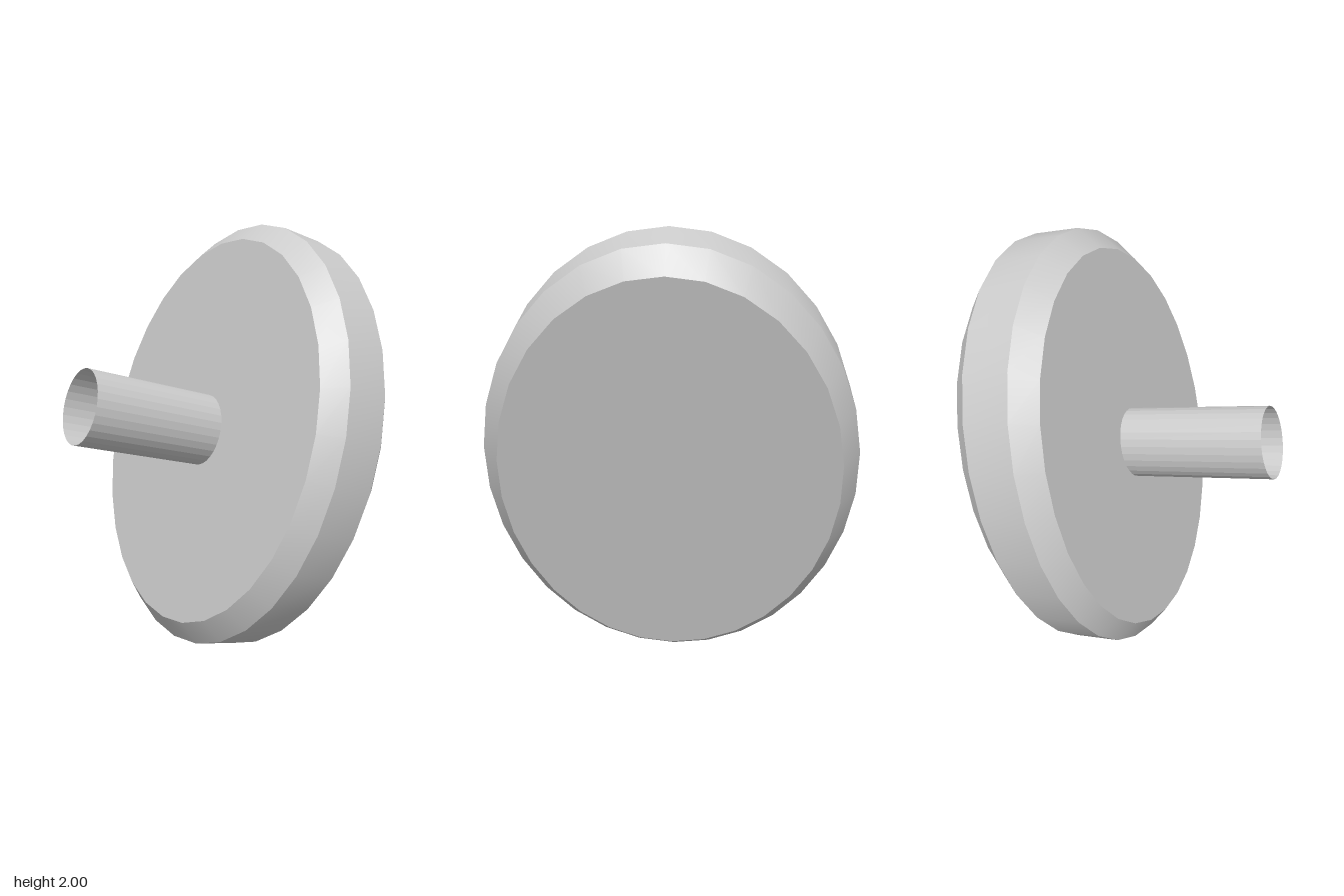
import * as THREE from 'three';
import { toCreasedNormals } from 'three/addons/utils/BufferGeometryUtils.js';

const SIDES = 30;
const FLATTEN = 0.806; // depth of the oval relative to its height

// Lathe with a vertex on the long axis of the oval
function turned(profile) {
  const points = profile.map(([r, y]) => new THREE.Vector2(r, y));
  return new THREE.LatheGeometry(points, SIDES, Math.PI / 2);
}

export function createModel() {
  const model = new THREE.Group();
  model.name = 'ovalKnob';

  // Solid oval disc with chamfered rims
  const disc = new THREE.Mesh(
    toCreasedNormals(turned([
      [0, -0.205], [0.91, -0.205], [1.006, -0.11],
      [1.006, 0.11], [0.91, 0.205], [0, 0.205],
    ]), 0.5),
    new THREE.MeshStandardMaterial({ color: 0xcccccc })
  );
  disc.name = 'disc';

  // Hollow open-ended stem standing on the back of the disc
  const stem = new THREE.Mesh(
    turned([[0.167, -0.877], [0.167, -0.2]]),
    new THREE.MeshStandardMaterial({ color: 0xcccccc, flatShading: true, side: THREE.DoubleSide })
  );
  stem.name = 'stem';

  // Lay the axis along x and tip it down by 15 degrees
  const body = new THREE.Group();
  body.name = 'tiltedBody';
  body.add(disc, stem);
  body.scale.z = FLATTEN;
  body.rotation.z = THREE.MathUtils.degToRad(-105);
  body.position.set(0.23, 1, 0);
  model.add(body);
  return model;
}
